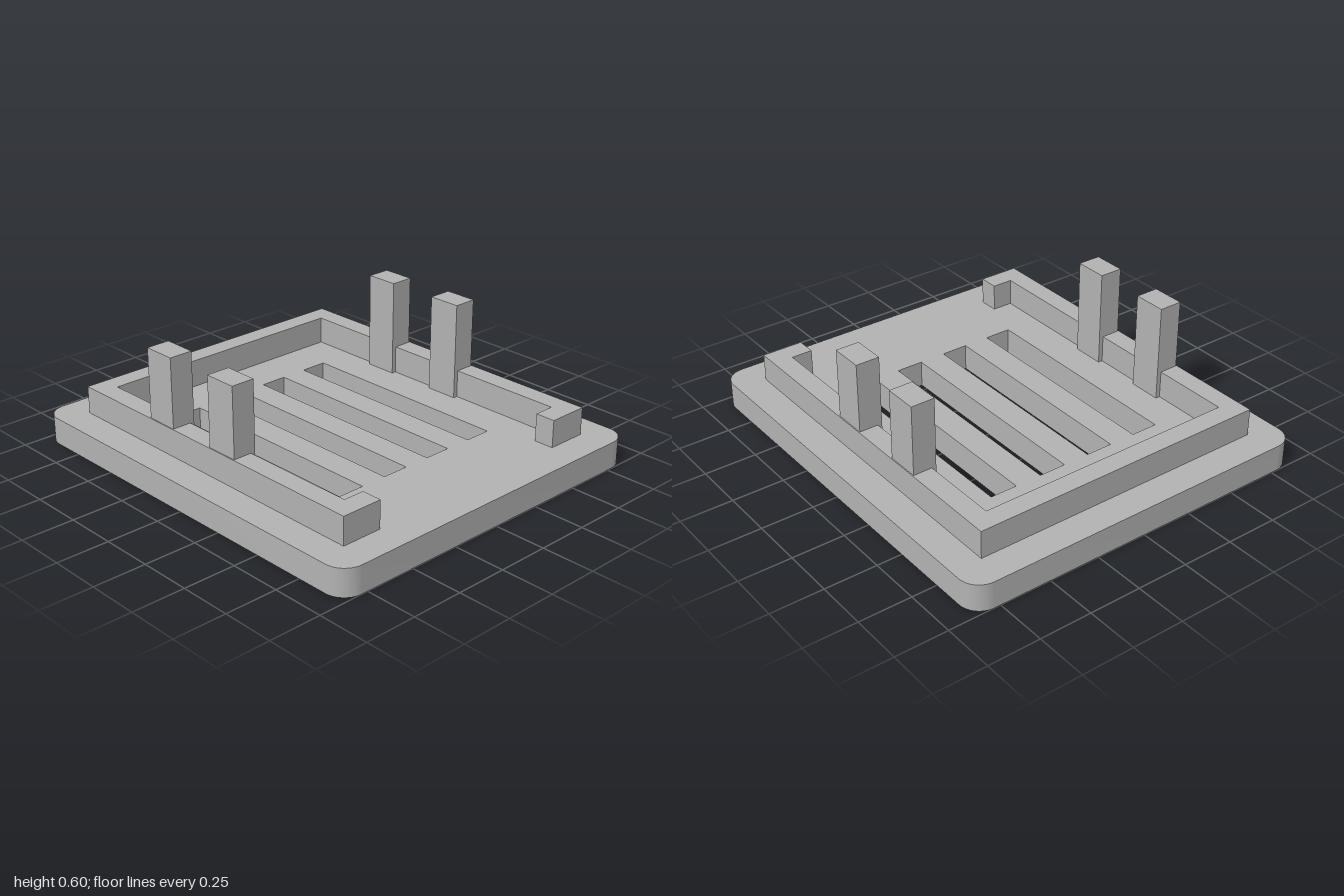
import * as THREE from 'three';
import { toCreasedNormals } from 'three/addons/utils/BufferGeometryUtils.js';

const BASE_TOP = 0.13, RIM_TOP = 0.262, POST_TOP = 0.595;

// Extrude a plan outline (drawn with y = -z) upward between two heights
function slab(shape, y0, y1) {
  const geo = new THREE.ExtrudeGeometry(shape, { depth: y1 - y0, bevelEnabled: false, curveSegments: 12 });
  geo.rotateX(-Math.PI / 2).translate(0, y0, 0);
  return toCreasedNormals(geo, Math.PI / 6);
}

function roundedRect(hw, hd, r) {
  const s = new THREE.Shape();
  s.moveTo(-hw + r, -hd);
  s.absarc(hw - r, -hd + r, r, -Math.PI / 2, 0);
  s.absarc(hw - r, hd - r, r, 0, Math.PI / 2);
  s.absarc(-hw + r, hd - r, r, Math.PI / 2, Math.PI);
  s.absarc(-hw + r, -hd + r, r, Math.PI, Math.PI * 1.5);
  return s;
}

export function createModel() {
  const model = new THREE.Group();
  const grey = new THREE.MeshStandardMaterial({ color: 0xb2b2b2 });
  grey.name = 'grey';
  const add = (name, geo) => {
    const mesh = new THREE.Mesh(geo, grey);
    mesh.name = name;
    model.add(mesh);
    return mesh;
  };

  // Rounded base plate with four long vent slots
  const plate = roundedRect(0.88, 1, 0.1);
  for (let i = 0; i < 4; i++) {
    const x0 = -0.462 + i * 0.262, x1 = x0 + 0.132;
    plate.holes.push(new THREE.Path([[x0, -0.54], [x0, 0.545], [x1, 0.545], [x1, -0.54]]
      .map(([x, y]) => new THREE.Vector2(x, y))));
  }
  add('basePlate', slab(plate, 0, BASE_TOP));

  // Raised rim, open at the front with short inward returns
  const half = [[0.735, 0.853], [0.735, -0.85], [0.535, -0.85], [0.535, -0.752], [0.638, -0.752], [0.638, 0.756]];
  const outline = [...half, ...half.map(([x, y]) => [-x, y]).reverse()];
  add('rim', slab(new THREE.Shape(outline.map(([x, y]) => new THREE.Vector2(x, y))), BASE_TOP, RIM_TOP));

  // Two upright posts on each side
  for (const [side, label] of [[1, 'left'], [-1, 'right']]) {
    for (const [z, place] of [[0.108, 'Front'], [-0.3, 'Back']]) {
      const post = add(`${label}${place}Post`, new THREE.BoxGeometry(0.114, POST_TOP - BASE_TOP, 0.16));
      post.position.set(side * 0.673, (POST_TOP + BASE_TOP) / 2, z);
    }
  }
  return model;
}
